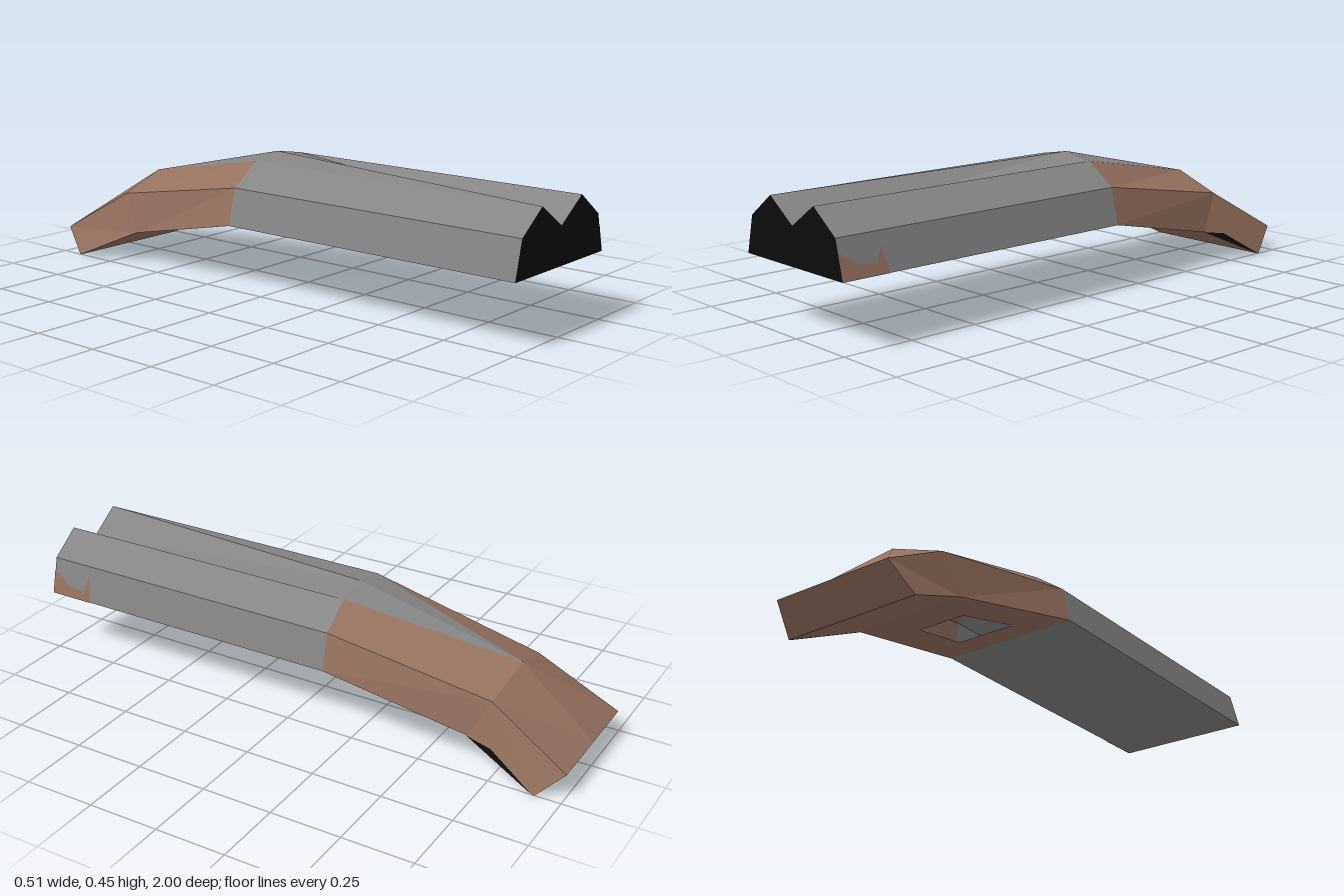
import * as THREE from 'three';

const mat = (name, color) => {
  const m = new THREE.MeshStandardMaterial({ color, side: THREE.DoubleSide });
  m.name = name;
  return m;
};

// Flat-shaded mesh from convex polygons; mirrored across x = 0 when asked.
function faces(name, material, polys, mirror = true) {
  const pos = [];
  const fan = (p) => {
    for (let i = 1; i < p.length - 1; i++) pos.push(...p[0], ...p[i], ...p[i + 1]);
  };
  for (const p of polys) {
    fan(p);
    if (mirror) fan(p.map(([x, y, z]) => [-x, y, z]).reverse());
  }
  const g = new THREE.BufferGeometry();
  g.setAttribute('position', new THREE.Float32BufferAttribute(pos, 3));
  g.computeVertexNormals();
  const mesh = new THREE.Mesh(g, material);
  mesh.name = name;
  return mesh;
}

export function createModel() {
  const grey = mat('metalGrey', 0x858586);
  const brown = mat('woodBrown', 0x96715f);
  const black = mat('black', 0x0c0c0c);
  const model = new THREE.Group();
  model.name = 'barrelAndStock';

  // Half sections: base centre, bottom edge, side edge, shoulder, top centre
  const section = (z, top) => ({
    base: [0, 0.225, z], low: [0.253, 0.225, z], mid: [0.222, 0.352, z],
    shoulder: [0.115, 0.43, z], top: [0, top, z],
  });
  const F = section(1, 0.352);
  const B = section(-0.14, 0.45);
  const W = { base: [0, 0.115, -0.65], low: [0.207, 0.115, -0.65], mid: [0.185, 0.25, -0.72], top: [0, 0.31, -0.74] };
  const E = { base: [0, 0, -0.91], low: [0.253, 0, -0.91], mid: [0.222, 0.09, -1], top: [0, 0.09, -1] };

  // Barrel block with a groove fading out towards the back
  model.add(faces('barrel', grey, [
    [F.base, B.base, B.low, F.low],
    [F.low, B.low, B.mid, F.mid],
    [F.mid, B.mid, B.shoulder, F.shoulder],
    [F.top, F.shoulder, B.shoulder, B.top],
  ]));
  model.add(faces('muzzleFace', black, [[F.base, F.low, F.mid, F.shoulder, F.top]]));
  model.add(faces('barrelTang', grey, [[B.shoulder, W.top, B.top]]));

  // Stock neck, with an opening in its underside
  const under = (x, t) => [x, 0.225 - 0.11 * t, -0.14 - 0.51 * t];
  const h1 = under(0.11, 0.255), h2 = under(0.088, 0.7);
  const c1 = under(0, 0.255), c2 = under(0, 0.7);
  model.add(faces('stockNeck', brown, [
    [B.low, W.low, W.mid, B.mid],
    [B.mid, W.mid, W.top, B.shoulder],
    [B.base, c1, h1, B.low],
    [h1, h2, W.low, B.low],
    [c2, W.base, W.low, h2],
  ]));

  // Flared butt
  model.add(faces('stockButt', brown, [
    [W.base, E.base, E.low, W.low],
    [E.low, E.mid, W.mid, W.low],
    [W.mid, E.mid, E.top, W.top],
    [E.top, E.mid, E.low, E.base],
  ]));

  // Painted patches on the left side
  const onSide = (z, y) => [0.255 - (y - 0.225) * 0.244, y, z];
  model.add(faces('muzzlePatch', brown, [
    [onSide(1, 0.225), onSide(0.93, 0.225), onSide(0.93, 0.265), onSide(1, 0.31)],
    [onSide(0.93, 0.225), onSide(0.87, 0.225), onSide(0.87, 0.26), onSide(0.93, 0.265)],
    [onSide(0.87, 0.225), onSide(0.83, 0.225), onSide(0.845, 0.31), onSide(0.87, 0.26)],
  ], false));
  const mix = (a, b, c) => [0, 1, 2].map((i) => W.low[i] * a + E.low[i] * b + W.mid[i] * c + (i ? 0 : 0.003));
  model.add(faces('buttPatch', black, [[mix(1, 0, 0), mix(0.03, 0.97, 0), mix(0.54, 0.31, 0.15)]], false));

  return model;
}
